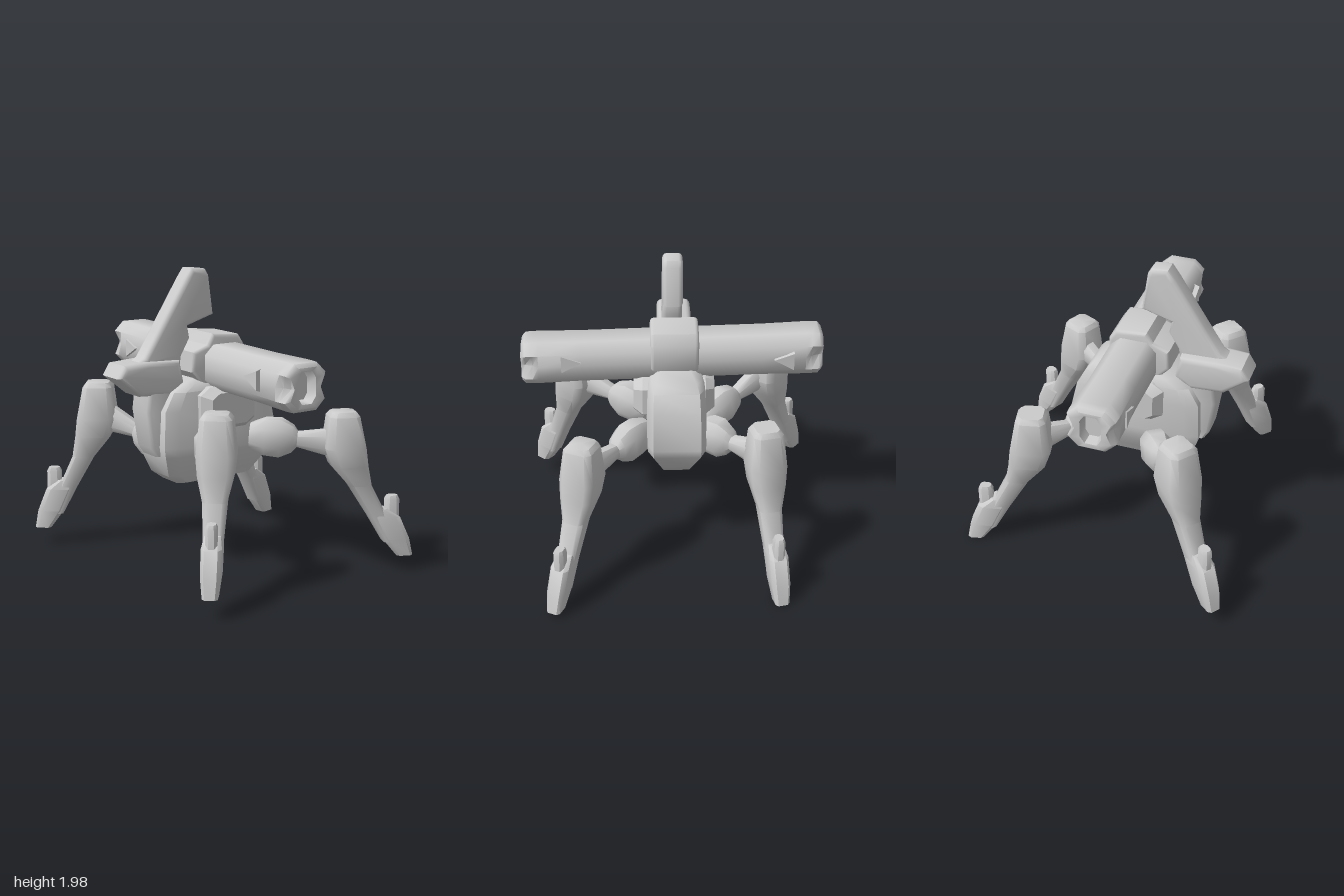
import * as THREE from 'three';
import { toCreasedNormals } from 'three/addons/utils/BufferGeometryUtils.js';

const V = (x, y, z) => new THREE.Vector3(x, y, z);
const material = new THREE.MeshStandardMaterial({ color: 0xcccccc });

function part(name, geometry, crease = 0.6) {
  const flat = geometry.index ? geometry.toNonIndexed() : geometry;
  flat.deleteAttribute('uv');
  const mesh = new THREE.Mesh(toCreasedNormals(flat, crease), material);
  mesh.name = name;
  return mesh;
}

// Skins a row of equal loops, closes both ends and turns the faces outward.
function loft(rings) {
  const tris = [];
  const n = rings[0].length;
  for (let i = 0; i < rings.length - 1; i++) {
    for (let j = 0; j < n; j++) {
      const k = (j + 1) % n;
      const [a, b, c, d] = [rings[i][j], rings[i][k], rings[i + 1][k], rings[i + 1][j]];
      tris.push([a, b, c], [a, c, d]);
    }
  }
  const cap = (ring, flip) => {
    const mid = ring.reduce((s, p) => s.add(p), V(0, 0, 0)).divideScalar(n);
    ring.forEach((p, j) => {
      const q = ring[(j + 1) % n];
      tris.push(flip ? [mid, q, p] : [mid, p, q]);
    });
  };
  cap(rings[0], true);
  cap(rings[rings.length - 1], false);
  const volume = tris.reduce((s, [a, b, c]) => s + a.dot(b.clone().cross(c)), 0);
  const points = tris.flatMap(([a, b, c]) => (volume < 0 ? [a, c, b] : [a, b, c]));
  return new THREE.BufferGeometry().setFromPoints(points);
}

// Chamfered rectangle around c, spanned by u and v.
function octagon(c, u, v, hu, hv, cut = 0.6) {
  const loop = [[1, -cut], [1, cut], [cut, 1], [-cut, 1], [-1, cut], [-1, -cut], [-cut, -1], [cut, -1]];
  return loop.map(([a, b]) => c.clone().addScaledVector(u, a * hu).addScaledVector(v, b * hv));
}

// Side profile of [z, y] points, given a bevelled width along x.
function slab(profile, x0, x1, bevel) {
  const shape = new THREE.Shape(profile.map(([z, y]) => new THREE.Vector2(z, y)));
  const geometry = new THREE.ExtrudeGeometry(shape, {
    depth: x1 - x0 - 2 * bevel, bevelThickness: bevel, bevelSize: bevel,
    bevelOffset: -bevel, bevelSegments: 3,
  });
  return geometry.rotateY(-Math.PI / 2).translate(x1 - bevel, 0, 0);
}

const X = V(1, 0, 0), Y = V(0, 1, 0), Z = V(0, 0, 1);

function createBody() {
  const body = new THREE.Group();
  body.name = 'body';
  // y, half width, back z, front z
  const levels = [
    [0.58, 0.108, -0.14, 0.44], [0.64, 0.135, -0.19, 0.52], [0.78, 0.193, -0.305, 0.57],
    [0.84, 0.197, -0.32, 0.58], [1.08, 0.195, -0.265, 0.57], [1.2, 0.187, -0.2, 0.5],
    [1.25, 0.165, -0.16, 0.4], [1.29, 0.12, -0.05, 0.28],
  ];
  body.add(part('hull', loft(levels.map(([y, hx, b, f]) =>
    octagon(V(-0.024, y, (b + f) / 2), X, Z, hx, (f - b) / 2, 0.8))), 0.9));

  // Tapered front shield
  body.add(part('frontShield', loft([[0.78, 0.093, 0.6], [0.84, 0.097, 0.635], [1.08, 0.105, 0.67], [1.22, 0.11, 0.65]]
    .map(([y, hx, f]) => octagon(V(-0.025, y, (f + 0.45) / 2), X, Z, hx, (f - 0.45) / 2, 0.8))), 0.9));

  // Eight-sided hubs on both flanks
  for (const s of [-1, 1]) {
    body.add(part('sideHub', loft([[0.1, 1], [0.21, 1], [0.27, 0.75]].map(([x, k]) =>
      octagon(V(s * x - 0.01, 1.08, 0.13), Z, Y, 0.215 * k, 0.142 * k, 0.65)))));
  }
  return body;
}

function createBarrel() {
  const barrel = new THREE.Group();
  barrel.name = 'crossBarrel';
  // x, half depth, half height, side notch; the end rows fold into the bore
  const half = [
    [0, 0.155, 0.145, 0], [0.6, 0.152, 0.145, 0], [0.88, 0.158, 0.15, 0], [0.92, 0.158, 0.15, 0.035],
    [0.97, 0.155, 0.148, 0.05], [0.995, 0.13, 0.125, 0.03], [0.99, 0.068, 0.1, 0], [0.92, 0.055, 0.085, 0],
  ];
  const mirrored = half.slice(1).reverse().map(([x, ...rest]) => [-x, ...rest]);
  const rings = [...mirrored, ...half].map(([x, hz, hy, notch]) => {
    const c = V(x, 1.347 - 0.02 * x, 0.122 - 0.012 * x);
    const ring = octagon(c, Z, Y, hz, hy, 0.56);
    // Middle points on the front and back let the ends be notched
    ring.splice(5, 0, c.clone().addScaledVector(Z, notch - hz));
    ring.splice(1, 0, c.clone().addScaledVector(Z, hz - notch));
    return ring;
  });
  barrel.add(part('tube', loft(rings), 0.95));

  // Small arrow-shaped lugs near both ends, front and back
  for (const s of [-1, 1]) {
    for (const f of [-1, 1]) {
      const x = s > 0 ? 0.73 : 0.8;
      const lug = [[0.11, 0.08], [0.175, 0.06]].map(([d, h]) => {
        const z = 0.125 + f * d;
        return [V(s * x, 1.35 + h, z), V(s * x, 1.35 - h, z), V(s * (x - 0.13), 1.35 + 0.012, z)];
      });
      barrel.add(part('lug', loft(lug), 0.3));
    }
  }

  // Clamp around the middle
  const clamp = [[0.0, 1.54], [0.21, 1.56], [0.25, 1.49], [0.36, 1.45], [0.37, 1.32],
    [0.26, 1.2], [0.02, 1.21], [-0.045, 1.3], [-0.045, 1.47]];
  barrel.add(part('clamp', slab(clamp, -0.175, 0.145, 0.025), 0.7));
  return barrel;
}

function createFin() {
  const fin = new THREE.Group();
  fin.name = 'headFin';
  const blade = [[0.72, 1.4], [0.67, 1.43], [0.56, 1.6], [0.36, 1.91], [0.31, 1.98], [0.2, 1.97],
    [0.175, 1.93], [0.14, 1.67], [0.34, 1.61], [0.325, 1.53], [0.39, 1.42], [0.41, 1.3], [0.6, 1.26]];
  const head = [[0.88, 1.32], [0.83, 1.4], [0.66, 1.41], [0.42, 1.4], [0.39, 1.25], [0.49, 1.175], [0.72, 1.19]];
  fin.add(part('blade', slab(blade, -0.075, 0.06, 0.03), 0.9));
  fin.add(part('head', slab(head, -0.145, 0.09, 0.035), 0.9));
  return fin;
}

function createLeg(name, hip, knee, foot) {
  const leg = new THREE.Group();
  leg.name = name;

  // Hip bulb narrowing to a thin arm that flares into the knee
  const armEnd = knee.clone().setY(knee.y - 0.22);
  const along = armEnd.clone().sub(hip);
  const dir = along.clone().normalize();
  const side = dir.clone().cross(Y).normalize();
  const up = side.clone().cross(dir);
  const arm = [[-0.2, 0.07, 0.08], [0, 0.097, 0.122], [0.2, 0.095, 0.127], [0.36, 0.07, 0.088],
    [0.42, 0.048, 0.05], [0.78, 0.055, 0.085], [1, 0.06, 0.085]];
  leg.add(part('hipArm', loft(arm.map(([t, hs, hu]) =>
    octagon(hip.clone().addScaledVector(along, t), side, up, hs, hu, 0.5))), 0.8));

  // Knee block and shin: share of drop, share of reach, half width, half depth
  const out = foot.clone().sub(knee).setY(0).normalize();
  const lateral = out.clone().cross(Y);
  const at = (drop, reach) => V(
    THREE.MathUtils.lerp(knee.x, foot.x, reach), THREE.MathUtils.lerp(knee.y, foot.y, drop),
    THREE.MathUtils.lerp(knee.z, foot.z, reach));
  const rows = (list, cut) => loft(list.map(([d, r, hl, ho]) => octagon(at(d, r), lateral, out, hl, ho, cut)));
  leg.add(part('kneeAndShin', rows([[0, 0, 0.075, 0.078], [0.03, 0, 0.1, 0.1], [0.24, 0.02, 0.122, 0.134],
    [0.36, 0.09, 0.11, 0.12], [0.5, 0.26, 0.075, 0.075], [0.72, 0.54, 0.06, 0.062], [0.9, 0.77, 0.055, 0.06]], 0.66), 0.85));
  leg.add(part('foot', rows([[0.67, 0.55, 0.05, 0.06], [0.73, 0.67, 0.064, 0.095],
    [0.88, 0.83, 0.062, 0.09], [1, 0.97, 0.048, 0.055]], 0.65), 0.7));

  // Upright peg on the foot, longer along the leg than across it
  const peg = [[0.78, 1], [0.61, 1], [0.585, 0.75]].map(([d, k]) => octagon(at(d, 0.77), lateral, out, 0.036 * k, 0.048 * k, 0.5));
  leg.add(part('footPeg', loft(peg), 0.6));
  return leg;
}

export function createModel() {
  const model = new THREE.Group();
  model.name = 'fourLeggedMachine';
  model.add(createBody(), createBarrel(), createFin());
  model.add(
    createLeg('frontLeftLeg', V(0.24, 0.845, 0.31), V(0.66, 1.17, 0.54), V(0.945, 0.13, 0.79)),
    createLeg('frontRightLeg', V(-0.3, 0.775, 0.32), V(-0.69, 1.16, 0.59), V(-0.945, 0.12, 0.92)),
    createLeg('backLeftLeg', V(0.245, 0.855, -0.14), V(0.59, 1.04, -0.52), V(0.785, 0.03, -0.93)),
    createLeg('backRightLeg', V(-0.25, 0.86, -0.13), V(-0.59, 1.08, -0.42), V(-0.69, 0, -0.85)),
  );
  return model;
}
